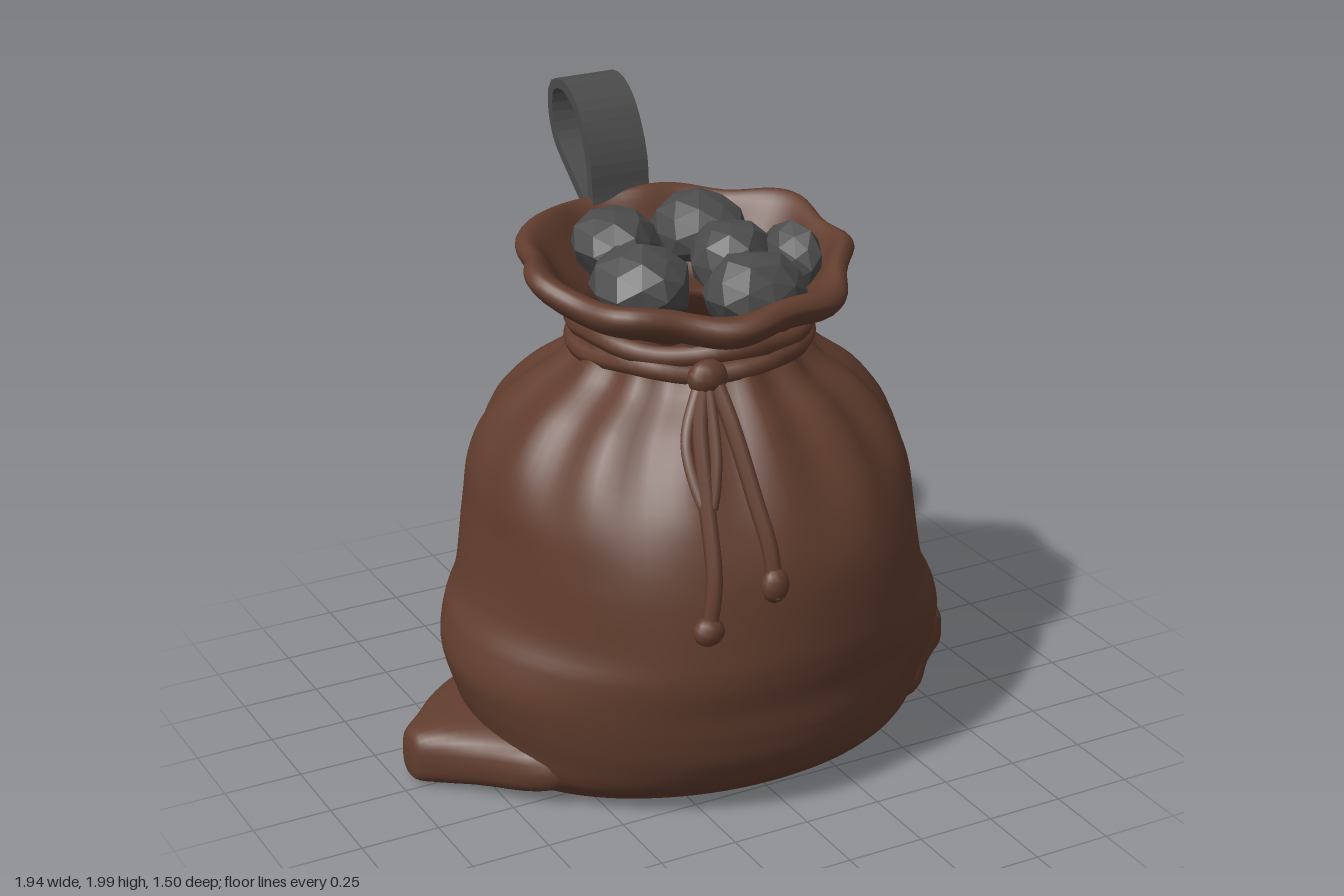
import * as THREE from 'three';
import { ParametricGeometry } from 'three/addons/geometries/ParametricGeometry.js';

const V = (x, y, z) => new THREE.Vector3(x, y, z);
const TAU = Math.PI * 2;

export function createModel() {
  const group = new THREE.Group();
  const cloth = new THREE.MeshStandardMaterial({ color: 0x613d2e, side: THREE.DoubleSide });
  cloth.name = 'brown cloth';
  const coal = new THREE.MeshStandardMaterial({ color: 0x4b4b4b, flatShading: true });
  coal.name = 'charcoal grey';

  let seed = 7;
  const rand = () => (seed = (seed * 16807) % 2147483647) / 2147483647;

  const add = (name, geometry, material, parent = group) => {
    const mesh = new THREE.Mesh(geometry, material);
    mesh.name = name;
    parent.add(mesh);
    return mesh;
  };
  const curveOf = (pts) => new THREE.CatmullRomCurve3(pts, false, 'catmullrom', 0.5);

  // Sack body: rows of height, half width, front depth, back depth
  const rows = [
    [0.02, 0.001, 0.001, -0.001], [0.015, 0.35, 0.28, -0.35], [0.02, 0.66, 0.47, -0.57],
    [0.09, 0.74, 0.59, -0.68], [0.2, 0.76, 0.665, -0.725], [0.3, 0.79, 0.69, -0.74],
    [0.4, 0.81, 0.7, -0.745], [0.5, 0.785, 0.72, -0.75], [0.6, 0.735, 0.725, -0.745],
    [0.8, 0.705, 0.705, -0.735], [0.95, 0.685, 0.65, -0.715], [1.08, 0.63, 0.57, -0.65],
    [1.2, 0.53, 0.48, -0.52], [1.3, 0.4, 0.39, -0.38], [1.38, 0.35, 0.345, -0.34],
    [1.46, 0.345, 0.34, -0.34],
  ];
  const front = curveOf(rows.map(([y, w, f]) => V(w, y, f)));
  const back = curveOf(rows.map(([y, w, , b]) => V(w, y, b)));
  const body = new ParametricGeometry((u, v, target) => {
    const a = u * TAU;
    const f = front.getPoint(v);
    const depth = Math.cos(a) > 0 ? f.z : -back.getPoint(v).z;
    // Gathered pleats near the neck, soft sags lower down
    const pleat = THREE.MathUtils.smoothstep(f.y, 0.8, 1.28) * 0.035;
    const sag = 0.01 * Math.sin(Math.min(1, f.y) * Math.PI);
    const k = 1 + pleat * Math.cos(13 * a + 0.6 * Math.sin(2 * a))
      + sag * Math.sin(5 * a + f.y * 7);
    target.set(Math.sin(a) * f.x * k, f.y, Math.cos(a) * depth * k);
  }, 104, 60);
  add('sackBody', body, cloth);

  // Pinched bottom corners: rows of distance out, half depth, bottom, top, centre depth
  const earRows = [
    [0.56, 0.36, 0.03, 0.235, 0.0], [0.68, 0.33, 0.02, 0.235, -0.02],
    [0.8, 0.22, 0.015, 0.22, -0.05], [0.89, 0.125, 0.015, 0.205, -0.05],
    [0.95, 0.07, 0.025, 0.185, -0.05], [0.967, 0.04, 0.05, 0.15, -0.05],
    [0.97, 0.003, 0.098, 0.102, -0.05],
  ];
  const earCentre = curveOf(earRows.map(([x, , lo, hi, z]) => V(x, (lo + hi) / 2, z)));
  const earSize = curveOf(earRows.map(([, d, lo, hi]) => V(0, (hi - lo) / 2, d)));
  const soft = (n) => Math.sign(n) * Math.abs(n) ** 0.75;
  for (const side of [1, -1]) {
    const corner = new ParametricGeometry((u, v, target) => {
      const a = -side * u * TAU;
      const c = earCentre.getPoint(v);
      const s = earSize.getPoint(v);
      target.set(side * c.x, c.y + soft(Math.sin(a)) * s.y, c.z + soft(Math.cos(a)) * s.z);
    }, 28, 20);
    add(side > 0 ? 'leftCorner' : 'rightCorner', corner, cloth);
  }

  // Flared, rolled collar that is higher at the back
  const lip = curveOf([
    [0.335, 1.39], [0.345, 1.44], [0.41, 1.49], [0.485, 1.55], [0.515, 1.6], [0.49, 1.635],
    [0.45, 1.62], [0.4, 1.56], [0.35, 1.5], [0.31, 1.44], [0.3, 1.38],
  ].map(([r, y]) => V(r, y, 0)));
  const collar = new ParametricGeometry((u, v, target) => {
    const a = u * TAU;
    const p = lip.getPoint(v);
    const loose = THREE.MathUtils.smoothstep(p.x, 0.34, 0.5);
    const r = p.x * (1 + loose * (0.03 * Math.cos(9 * a + 1) + 0.02 * Math.sin(4 * a)));
    const rise = loose * (-0.055 * Math.cos(a) + 0.012 * Math.sin(7 * a) - 0.012 * Math.cos(2 * a));
    target.set(Math.sin(a) * r * 1.02 - 0.015 * loose, p.y + rise, Math.cos(a) * r * 0.94);
  }, 88, 36);
  add('collar', collar, cloth);

  // Drawstring wound twice around the neck
  [[1.36, 0.352, 0], [1.415, 0.35, 2]].forEach(([y, r, phase]) => {
    const pts = Array.from({ length: 24 }, (_, i) => {
      const a = (i / 24) * TAU;
      const k = r + 0.008 * Math.sin(6 * a + phase);
      return V(Math.sin(a) * k, y + 0.01 * Math.sin(5 * a + phase), Math.cos(a) * k);
    });
    const ring = new THREE.CatmullRomCurve3(pts, true);
    add('drawstringRing', new THREE.TubeGeometry(ring, 72, 0.032, 8, true), cloth);
  });

  // Knot, bow loop and hanging cords with knotted ends
  const cords = new THREE.Group();
  cords.name = 'drawstringCords';
  group.add(cords);
  const cord = (pts, r) => add('cord',
    new THREE.TubeGeometry(new THREE.CatmullRomCurve3(pts), 28, r, 7), cloth, cords);
  const knot = (x, y, z, sx, sy, sz) => {
    const m = add('knot', new THREE.SphereGeometry(1, 12, 8), cloth, cords);
    m.position.set(x, y, z);
    m.scale.set(sx, sy, sz);
  };
  cord([V(-0.15, 1.38, 0.36), V(-0.21, 1.25, 0.45), V(-0.25, 1.05, 0.57),
    V(-0.28, 0.85, 0.67), V(-0.31, 0.7, 0.69)], 0.026);
  cord([V(-0.13, 1.38, 0.37), V(-0.12, 1.25, 0.48), V(-0.11, 1.05, 0.61),
    V(-0.1, 0.92, 0.68), V(-0.1, 0.78, 0.715)], 0.026);
  cord([V(-0.16, 1.38, 0.37), V(-0.26, 1.2, 0.46), V(-0.25, 1.03, 0.58),
    V(-0.2, 1.15, 0.53), V(-0.15, 1.37, 0.38)], 0.02);
  knot(-0.15, 1.37, 0.385, 0.065, 0.055, 0.045);
  knot(-0.31, 0.71, 0.69, 0.05, 0.045, 0.04);
  knot(-0.1, 0.82, 0.71, 0.045, 0.055, 0.035);

  // Lumps filling the mouth: centre and half sizes
  const lumps = [
    [-0.15, 1.6, -0.21, 0.13, 0.11, 0.16], [0.155, 1.6, -0.23, 0.15, 0.11, 0.17],
    [-0.2, 1.56, 0.07, 0.145, 0.13, 0.17], [0.14, 1.57, 0.0, 0.13, 0.12, 0.13],
    [0.1, 1.54, 0.22, 0.16, 0.12, 0.13], [0.3, 1.57, 0.09, 0.085, 0.12, 0.13],
  ];
  const lumpGroup = new THREE.Group();
  lumpGroup.name = 'coalLumps';
  group.add(lumpGroup);
  for (const [x, y, z, sx, sy, sz] of lumps) {
    const geo = new THREE.IcosahedronGeometry(1, 1);
    const pos = geo.attributes.position;
    const moved = new Map();
    for (let i = 0; i < pos.count; i++) {
      const p = V().fromBufferAttribute(pos, i);
      const key = p.toArray().map((n) => Math.round(n * 100)).join();
      if (!moved.has(key)) moved.set(key, 0.92 + rand() * 0.18);
      p.multiplyScalar(moved.get(key));
      pos.setXYZ(i, p.x * sx, p.y * sy, p.z * sz);
    }
    geo.computeVertexNormals();
    add('coalLump', geo, coal, lumpGroup).position.set(x, y, z);
  }

  // Strap loop: a flat band swept along its path at the back
  const path = new THREE.CatmullRomCurve3([
    [-0.36, 1.45], [-0.43, 1.53], [-0.5, 1.63], [-0.61, 1.72], [-0.7, 1.8], [-0.733, 1.89],
    [-0.718, 1.963], [-0.64, 1.983], [-0.56, 1.943], [-0.5, 1.86], [-0.465, 1.77],
    [-0.455, 1.68], [-0.44, 1.6],
  ].map(([z, y]) => V(0, y, z)));
  const band = new THREE.Shape([[-0.1, -0.016], [0.1, -0.016], [0.1, 0.016], [-0.1, 0.016]]
    .map(([x, y]) => new THREE.Vector2(x, y)));
  add('strapLoop', new THREE.ExtrudeGeometry(band, { steps: 36, extrudePath: path }), coal)
    .position.x = -0.01;

  return group;
}
